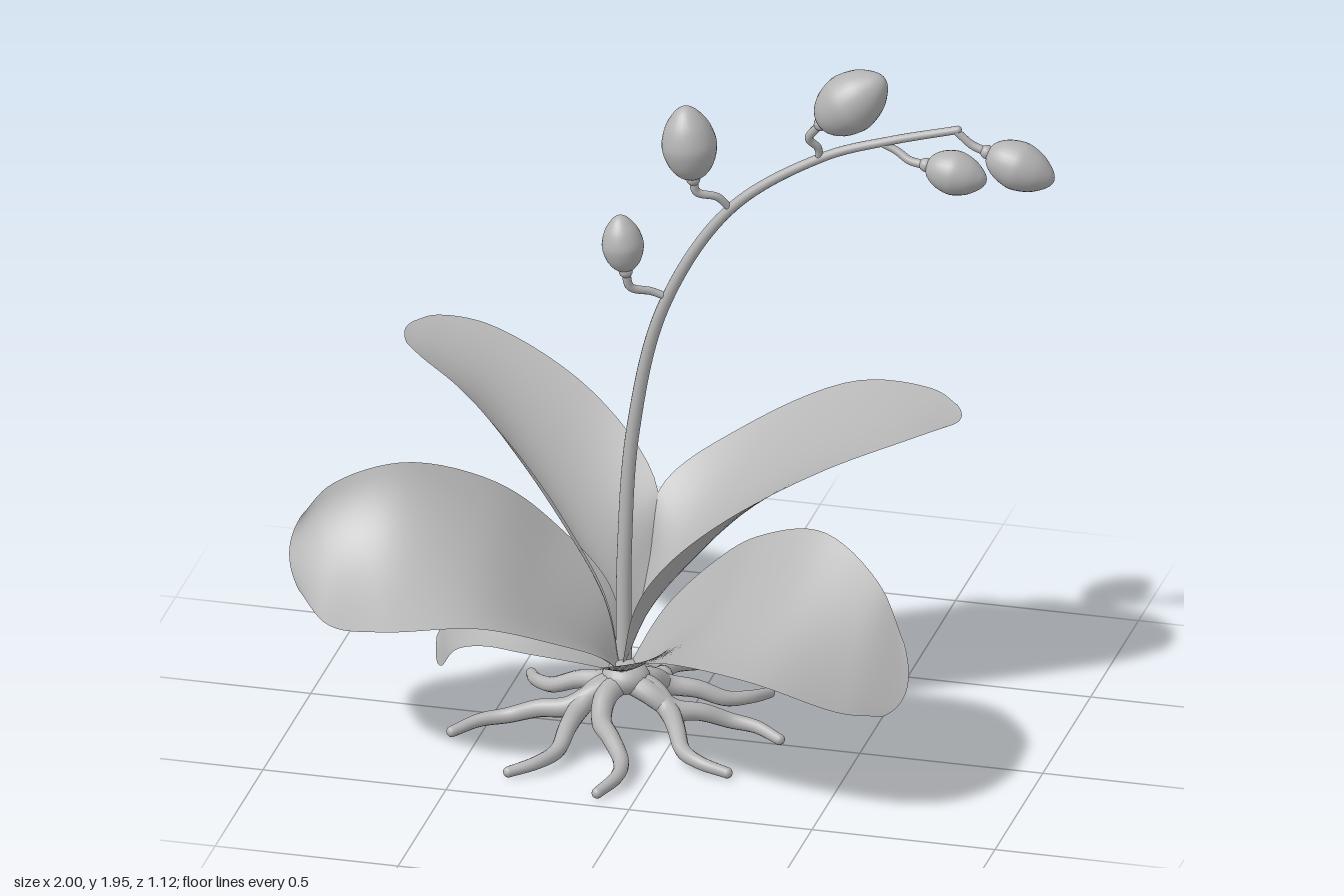
import * as THREE from 'three';

const grey = new THREE.MeshStandardMaterial({ color: 0xb4b4b4, side: THREE.DoubleSide });
grey.name = 'plain grey';

const V = (p) => new THREE.Vector3(...p);
const spline = (pts) => new THREE.CatmullRomCurve3(pts.map(V));

function part(geometry, name) {
  const mesh = new THREE.Mesh(geometry, grey);
  mesh.name = name;
  return mesh;
}

// Round tube that tapers from r0 to r1, with a rounded end
function taperTube(curve, r0, r1, segments, name) {
  const sides = 12;
  const g = new THREE.TubeGeometry(curve, segments, 1, sides);
  const pos = g.attributes.position;
  const v = new THREE.Vector3();
  for (let i = 0; i <= segments; i++) {
    const c = curve.getPointAt(i / segments);
    const r = r0 + (r1 - r0) * (i / segments);
    for (let j = 0; j <= sides; j++) {
      const k = i * (sides + 1) + j;
      v.fromBufferAttribute(pos, k).sub(c).multiplyScalar(r).add(c);
      pos.setXYZ(k, v.x, v.y, v.z);
    }
  }
  const group = new THREE.Group();
  group.name = name;
  const cap = part(new THREE.SphereGeometry(r1, 12, 8), name + 'End');
  cap.position.copy(curve.getPointAt(1));
  group.add(part(g, name + 'Tube'), cap);
  return group;
}

// Leaf blade lofted across three rails: edge, midrib, edge
function leaf(rails, name) {
  const [a, m, b] = rails.map(spline);
  const rows = 40, cols = 16, pos = [], index = [];
  for (let i = 0; i <= rows; i++) {
    const t = i / rows;
    const pa = a.getPoint(t), pm = m.getPoint(t), pb = b.getPoint(t);
    for (let j = 0; j <= cols; j++) {
      const s = j / cols;
      const wa = 2 * (s - 0.5) * (s - 1), wm = 4 * s * (1 - s), wb = 2 * s * (s - 0.5);
      pos.push(...['x', 'y', 'z'].map((k) => pa[k] * wa + pm[k] * wm + pb[k] * wb));
      if (i < rows && j < cols) {
        const k = i * (cols + 1) + j, n = k + cols + 1;
        index.push(k, k + 1, n, k + 1, n + 1, n);
      }
    }
  }
  const g = new THREE.BufferGeometry();
  g.setAttribute('position', new THREE.Float32BufferAttribute(pos, 3));
  g.setIndex(index);
  g.computeVertexNormals();
  return part(g, name);
}

// Bud: a pointed egg on a small collar, at the end of a curved stalk
function bud(stalk, tip, radius) {
  const group = new THREE.Group();
  group.name = 'bud';
  const base = V(stalk[stalk.length - 1]);
  const dir = V(tip).sub(base);
  const len = dir.length();
  const profile = [[0, 0], [0.45, 0.05], [0.8, 0.2], [0.98, 0.4], [0.97, 0.55], [0.78, 0.75], [0.45, 0.91], [0.2, 0.98], [0, 1]];
  const smooth = new THREE.SplineCurve(profile.map(([r, y]) => new THREE.Vector2(r * radius, y * len))).getPoints(28);
  smooth.forEach((p) => { p.x = Math.max(p.x, 0); });
  const egg = part(new THREE.LatheGeometry(smooth, 28), 'budHead');
  const collar = part(new THREE.SphereGeometry(0.019, 14, 10), 'budCollar');
  egg.position.copy(base);
  egg.quaternion.setFromUnitVectors(new THREE.Vector3(0, 1, 0), dir.normalize());
  collar.position.copy(base);
  group.add(taperTube(spline(stalk), 0.01, 0.012, 20, 'budStalk'), egg, collar);
  return group;
}

// Root that winds outwards from the crown to a point on the ground
function root(x, z, sway) {
  const start = new THREE.Vector3(-0.14, 0.15, 0);
  const end = new THREE.Vector3(x, 0.02, z);
  const side = new THREE.Vector3(-(z - start.z), 0, x - start.x).normalize();
  const heights = [0.15, 0.13, 0.09, 0.075, 0.045, 0.035, 0.02];
  const pts = heights.map((y, i) => {
    const t = i / 6;
    const p = start.clone().lerp(end, t).addScaledVector(side, sway * Math.sin(t * Math.PI * 2));
    return [p.x, y, p.z];
  });
  return taperTube(spline(pts), 0.034, 0.015, 36, 'root');
}

export function createModel() {
  const plant = new THREE.Group();
  plant.name = 'floweringPlant';

  // Flower stem
  plant.add(taperTube(spline([
    [-0.15, 0.16, -0.02], [-0.156, 0.5, -0.05], [-0.14, 0.84, -0.08], [-0.06, 1.2, -0.09],
    [0.12, 1.5, -0.1], [0.37, 1.675, -0.11], [0.55, 1.74, -0.117], [0.735, 1.79, -0.125],
  ]), 0.022, 0.011, 80, 'stem'));

  // Buds
  [
    [[[-0.055, 1.23, -0.09], [-0.09, 1.245, -0.08], [-0.14, 1.265, -0.05], [-0.15, 1.315, -0.04]], [-0.167, 1.475, -0.04], 0.056],
    [[[0.12, 1.5, -0.1], [0.09, 1.54, -0.08], [0.04, 1.56, -0.055], [0.032, 1.6, -0.05]], [0.01, 1.81, -0.045], 0.074],
    [[[0.36, 1.67, -0.11], [0.36, 1.705, -0.1], [0.34, 1.74, -0.08], [0.375, 1.79, -0.07]], [0.55, 1.945, -0.06], 0.082],
    [[[0.52, 1.735, -0.117], [0.57, 1.715, -0.115], [0.61, 1.695, -0.105], [0.655, 1.69, -0.1]], [0.82, 1.66, -0.1], 0.06],
    [[[0.73, 1.787, -0.125], [0.755, 1.765, -0.125], [0.775, 1.75, -0.125], [0.815, 1.735, -0.125]], [0.998, 1.67, -0.125], 0.066],
  ].forEach((b) => plant.add(bud(...b)));

  // Leaves: outer rails first and last, midrib between
  plant.add(leaf([
    [[-0.14, 0.17, -0.02], [-0.13, 0.4, -0.23], [-0.14, 0.56, -0.33], [-0.36, 0.735, -0.5], [-0.66, 0.865, -0.57], [-0.8, 0.89, -0.54], [-0.845, 0.89, -0.49]],
    [[-0.15, 0.17, 0], [-0.2, 0.34, -0.1], [-0.3, 0.49, -0.18], [-0.46, 0.655, -0.27], [-0.64, 0.8, -0.36], [-0.77, 0.865, -0.4], [-0.855, 0.89, -0.43]],
    [[-0.15, 0.17, 0.01], [-0.2, 0.36, -0.03], [-0.31, 0.54, -0.06], [-0.45, 0.7, -0.11], [-0.64, 0.84, -0.2], [-0.77, 0.885, -0.28], [-0.83, 0.89, -0.35]],
  ], 'backRightLeaf'));
  plant.add(leaf([
    [[-0.14, 0.17, -0.02], [-0.135, 0.4, -0.23], [-0.13, 0.56, -0.33], [0.06, 0.7, -0.46], [0.35, 0.84, -0.52], [0.58, 0.865, -0.47], [0.66, 0.855, -0.41]],
    [[-0.15, 0.17, 0], [-0.09, 0.33, -0.07], [0.01, 0.475, -0.14], [0.17, 0.64, -0.21], [0.38, 0.785, -0.28], [0.56, 0.84, -0.32], [0.685, 0.845, -0.35]],
    [[-0.15, 0.17, 0.01], [-0.11, 0.36, 0.02], [-0.01, 0.52, 0.055], [0.15, 0.66, 0.03], [0.38, 0.78, -0.07], [0.58, 0.84, -0.19], [0.665, 0.85, -0.28]],
  ], 'backLeftLeaf'));
  plant.add(leaf([
    [[-0.15, 0.17, -0.01], [-0.2, 0.36, -0.09], [-0.35, 0.53, -0.09], [-0.5, 0.67, -0.02], [-0.72, 0.75, 0.09], [-0.9, 0.7, 0.17], [-0.97, 0.62, 0.205]],
    [[-0.15, 0.17, 0], [-0.21, 0.28, 0.06], [-0.33, 0.4, 0.14], [-0.49, 0.52, 0.22], [-0.7, 0.575, 0.26], [-0.88, 0.55, 0.25], [-1, 0.52, 0.225]],
    [[-0.15, 0.17, 0.01], [-0.165, 0.265, 0.14], [-0.24, 0.37, 0.31], [-0.42, 0.475, 0.485], [-0.66, 0.455, 0.525], [-0.85, 0.4, 0.4], [-0.96, 0.435, 0.28]],
  ], 'frontRightLeaf'));
  plant.add(leaf([
    [[-0.14, 0.17, -0.01], [-0.06, 0.32, -0.08], [0.08, 0.48, -0.07], [0.22, 0.6, -0.01], [0.42, 0.67, 0.07], [0.6, 0.59, 0.18], [0.69, 0.46, 0.26]],
    [[-0.14, 0.17, 0], [-0.05, 0.25, 0.08], [0.06, 0.36, 0.16], [0.2, 0.47, 0.24], [0.4, 0.53, 0.3], [0.58, 0.47, 0.33], [0.715, 0.36, 0.335]],
    [[-0.14, 0.17, 0.01], [-0.155, 0.25, 0.17], [-0.08, 0.35, 0.36], [0.11, 0.445, 0.51], [0.35, 0.435, 0.55], [0.57, 0.345, 0.485], [0.67, 0.315, 0.415]],
  ], 'frontLeftLeaf'));
  plant.add(leaf([
    [[-0.15, 0.17, -0.01], [-0.26, 0.31, -0.06], [-0.42, 0.37, -0.07], [-0.55, 0.345, -0.11], [-0.65, 0.25, -0.155], [-0.69, 0.15, -0.13]],
    [[-0.15, 0.17, 0], [-0.26, 0.24, 0.0], [-0.41, 0.29, 0.0], [-0.54, 0.27, -0.03], [-0.64, 0.19, -0.075], [-0.68, 0.1, -0.09]],
    [[-0.15, 0.17, 0.01], [-0.24, 0.22, 0.09], [-0.38, 0.25, 0.13], [-0.5, 0.24, 0.09], [-0.6, 0.185, 0.015], [-0.65, 0.11, -0.04]],
  ], 'smallLowerLeaf'));

  // Crown and roots
  const crown = part(new THREE.SphereGeometry(0.065, 20, 14), 'crown');
  crown.position.set(-0.14, 0.155, 0);
  crown.scale.y = 0.7;
  plant.add(crown);
  [
    [-0.1, 0.45, 0.045], [0.2, 0.24, -0.04], [0.28, 0.0, 0.035], [0.18, -0.28, -0.035],
    [-0.04, -0.41, 0.045], [-0.46, -0.24, 0.04], [-0.57, 0.17, -0.035], [-0.36, 0.38, 0.04],
  ].forEach((r) => plant.add(root(...r)));

  return plant;
}
